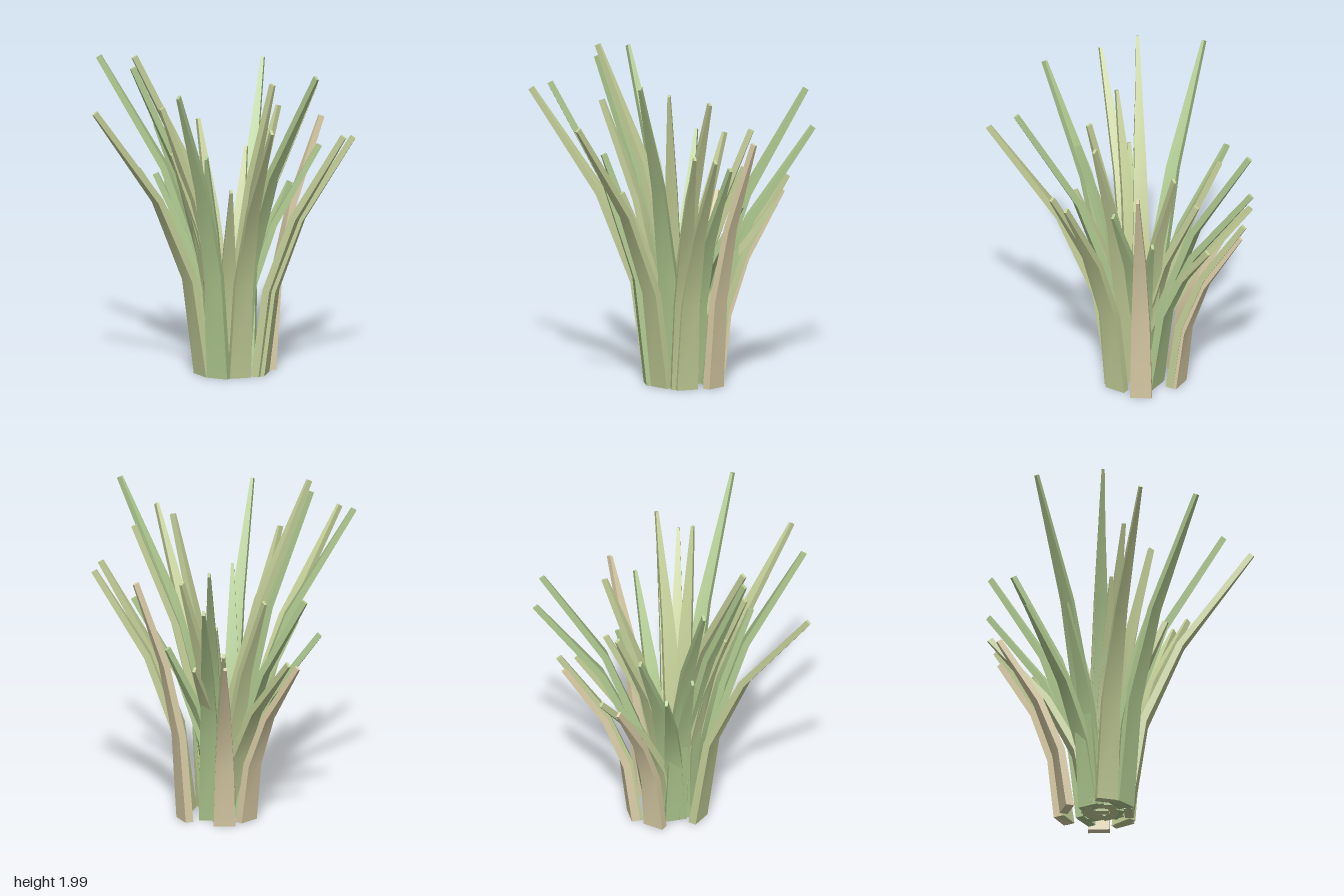
import * as THREE from 'three';

const COLORS = { olive: 0xc4cf98, green: 0xb0ca90, tan: 0xdccfa8 };
const STEPS = [0, 0.35, 0.65, 1]; // heights of the kinks along a blade

// Tip x, y, z, colour, then the base x, z where it stands apart from the clump
const BLADES = [
  // left side
  [-0.775, 1.905, -0.05, 'green', -0.09, -0.03],
  [-0.725, 1.715, 0.615, 'olive', -0.13, 0.1],
  [-0.525, 1.985, 0.27, 'olive', 0, -0.02],
  [-0.535, 1.915, 0.27, 'green'],
  [-0.355, 1.685, 0.325, 'olive'],
  [-0.3, 1.38, 0.215, 'olive'],
  [-0.43, 1.2, -0.02, 'green'],
  [-0.56, 1.175, -0.22, 'green'],
  [-0.465, 1.425, -0.355, 'green'],
  [-0.415, 1.05, -0.475, 'tan', -0.125, -0.165],
  [-0.355, 1.1, -0.565, 'olive'],
  [-0.22, 1.445, -0.425, 'olive'],
  // front
  [-0.21, 1.855, 0.735, 'green', -0.03, 0.165],
  [-0.075, 1.415, 0.445, 'green', -0.05, 0.13],
  [0.07, 1.2, 0.395, 'olive'],
  [0.36, 1.675, 0.825, 'olive', 0.09, 0.14],
  // right-hand side of the front
  [0.595, 1.945, 0.525, 'green', 0.08, 0.07],
  [0.295, 1.815, 0.19, 'olive', 0.06, 0.05],
  [0.725, 1.515, 0.225, 'olive', 0.2, 0.06],
  [0.77, 1.49, 0.11, 'olive', 0.22, 0.04],
  [0.535, 1.795, 0.035, 'olive', 0.1, 0.03],
  [0.545, 1.385, -0.095, 'green', 0.08, -0.07],
  [0.54, 1.525, -0.255, 'tan', 0.24, -0.13],
  // back
  [0.35, 1.115, -0.26, 'green'],
  [0.27, 1.555, -0.365, 'olive'],
  [0.205, 1.075, -0.555, 'olive'],
  [0.165, 1.515, -0.825, 'green', 0.09, -0.14],
  [0.13, 1.745, -0.795, 'green', 0.07, -0.14],
  [0.04, 1.21, -0.715, 'olive', 0.01, -0.24],
  [0.03, 1.12, -0.685, 'tan', 0.01, -0.26],
  [0.07, 1.285, -0.415, 'olive', 0.03, -0.04],
];

// A box bent outward along a parabola, its width tapering to the tip
function blade(tipX, height, tipZ, color, baseX, baseZ) {
  const reach = Math.hypot(tipX, tipZ);
  const bx = baseX ?? (0.075 * tipX) / reach;
  const bz = baseZ ?? (0.075 * tipZ) / reach;
  const lean = new THREE.Vector3(tipX - bx, 0, tipZ - bz);
  const length = lean.length();
  const out = lean.clone().normalize();
  const side = new THREE.Vector3(out.z, 0, -out.x);

  const geometry = new THREE.BoxGeometry(1, 1, 1, 1, 3, 1);
  const pos = geometry.attributes.position;
  const p = new THREE.Vector3();
  const normal = new THREE.Vector3();
  for (let i = 0; i < pos.count; i++) {
    const t = STEPS[Math.round((pos.getY(i) + 0.5) * 3)];
    const slope = Math.min(2 * t, 1.65) * length;
    normal.copy(out).multiplyScalar(height);
    normal.y = -slope;
    normal.normalize();
    const width = 0.13 * (1 - 0.87 * t ** 1.6);
    const thickness = 0.05 - 0.015 * t;
    p.set(bx, t * height, bz)
      .addScaledVector(lean, t * t)
      .addScaledVector(side, pos.getX(i) * width)
      .addScaledVector(normal, pos.getZ(i) * thickness);
    pos.setXYZ(i, p.x, p.y, p.z);
  }
  // Each box side keeps its own vertices, so shading is smooth along the blade and sharp at its edges
  geometry.computeVertexNormals();
  return new THREE.Mesh(geometry, new THREE.MeshStandardMaterial({ color: COLORS[color] }));
}

export function createModel() {
  const tuft = new THREE.Group();
  tuft.name = 'grassTuft';
  BLADES.forEach((spec, i) => {
    const mesh = blade(...spec);
    mesh.name = `grassBlade${i + 1}`;
    tuft.add(mesh);
  });
  return tuft;
}
